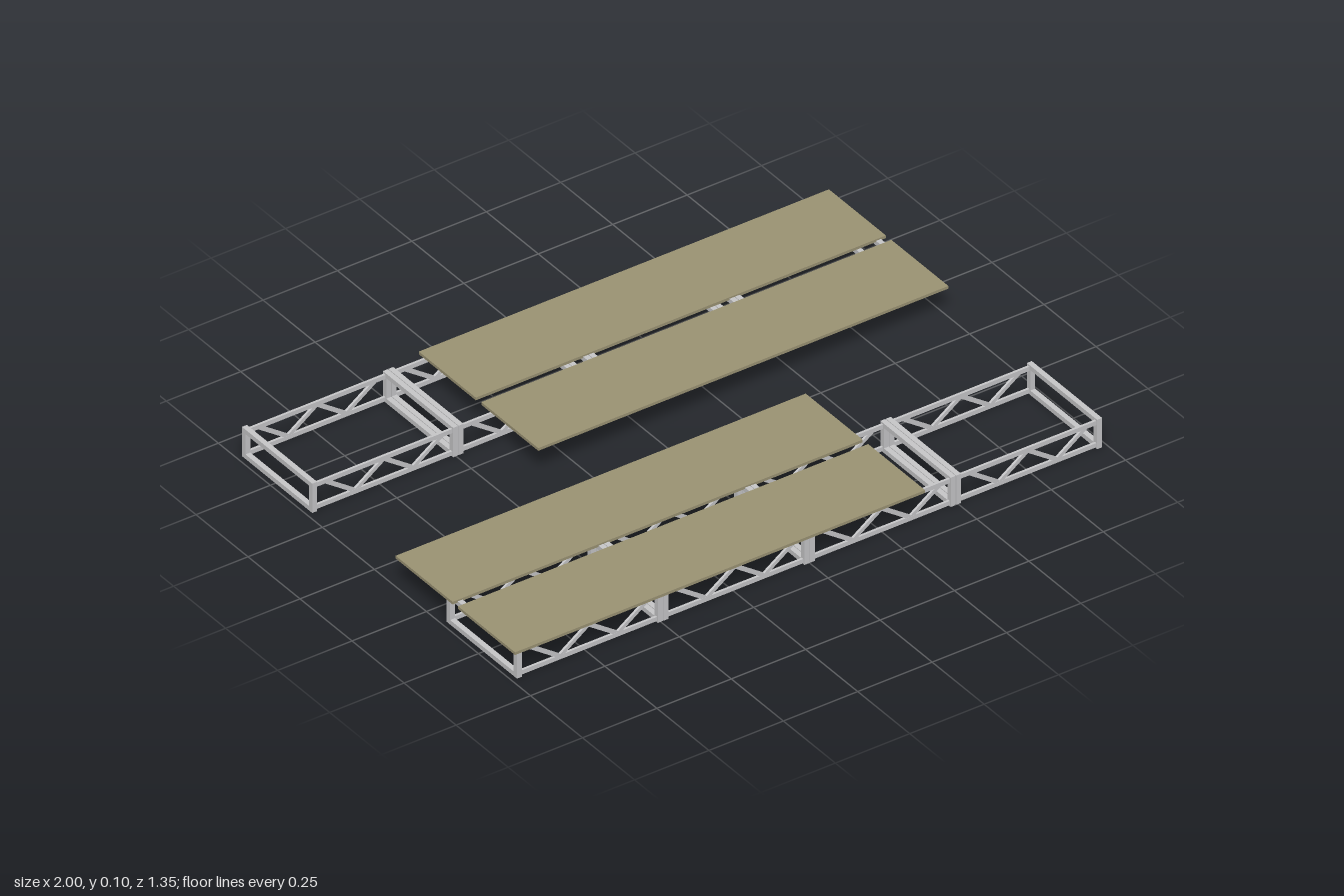
import * as THREE from 'three';

const metal = new THREE.MeshStandardMaterial({ color: 0xc8c8ca });
metal.name = 'bare metal';
const board = new THREE.MeshStandardMaterial({ color: 0x9c9474 });
board.name = 'olive board';

const BAY = 0.492, TUBE = 0.0165, TOP = 0.098;
const Z_IN = 0.323, Z_OUT = 0.661;

// Box given by its min and max corners
function bar(parent, name, mat, [x0, y0, z0], [x1, y1, z1]) {
  const m = new THREE.Mesh(new THREE.BoxGeometry(x1 - x0, y1 - y0, z1 - z0), mat);
  m.position.set((x0 + x1) / 2, (y0 + y1) / 2, (z0 + z1) / 2);
  m.name = name;
  parent.add(m);
  return m;
}

// Rectangular end frame starting at x
function endFrame(x) {
  const g = new THREE.Group();
  g.name = 'endFrame';
  const x1 = x + TUBE;
  for (const z of [Z_IN, Z_OUT - TUBE]) bar(g, 'post', metal, [x, 0, z], [x1, TOP, z + TUBE]);
  for (const y of [0, TOP - 0.015]) {
    bar(g, 'crossbar', metal, [x, y, Z_IN + TUBE], [x1, y + 0.015, Z_OUT - TUBE]);
  }
  return g;
}

// Side lattice: two chords and a W of diagonals
function sideTruss(x, z) {
  const g = new THREE.Group();
  g.name = 'sideTruss';
  const a = x + TUBE, b = x + BAY - TUBE, t = 0.004;
  bar(g, 'bottomChord', metal, [a, 0.004, z - t], [b, 0.018, z + t]);
  bar(g, 'topChord', metal, [a, 0.078, z - t], [b, 0.092, z + t]);
  const nodes = [0.052, 0.149, 0.246, 0.343, 0.44];
  for (let i = 0; i < 4; i++) {
    const y0 = i % 2 ? 0.014 : 0.082, y1 = i % 2 ? 0.082 : 0.014;
    const dx = nodes[i + 1] - nodes[i], dy = y1 - y0;
    const d = new THREE.Mesh(new THREE.BoxGeometry(Math.hypot(dx, dy), 0.012, 0.0076), metal);
    d.position.set(x + (nodes[i] + nodes[i + 1]) / 2, 0.048, z);
    d.rotation.z = Math.atan2(dy, dx);
    d.name = 'diagonal';
    g.add(d);
  }
  return g;
}

// Four-bay truss carrying two long boards
function platform(name) {
  const g = new THREE.Group();
  g.name = name;
  for (let i = 0; i < 4; i++) {
    const x = (i - 2) * BAY;
    g.add(endFrame(x + 0.001), endFrame(x + BAY - TUBE - 0.001));
    for (const z of [Z_IN + TUBE / 2, Z_OUT - TUBE / 2]) g.add(sideTruss(x, z));
  }
  bar(g, 'innerBoard', board, [-1, 0.094, 0.102], [0.378, 0.103, 0.376]);
  bar(g, 'outerBoard', board, [-1, 0.094, 0.402], [0.378, 0.103, 0.676]);
  return g;
}

export function createModel() {
  const model = new THREE.Group();
  model.name = 'trussPlatforms';
  const front = platform('frontPlatform');
  const back = platform('backPlatform');
  back.rotation.y = Math.PI;
  model.add(front, back);
  return model;
}
